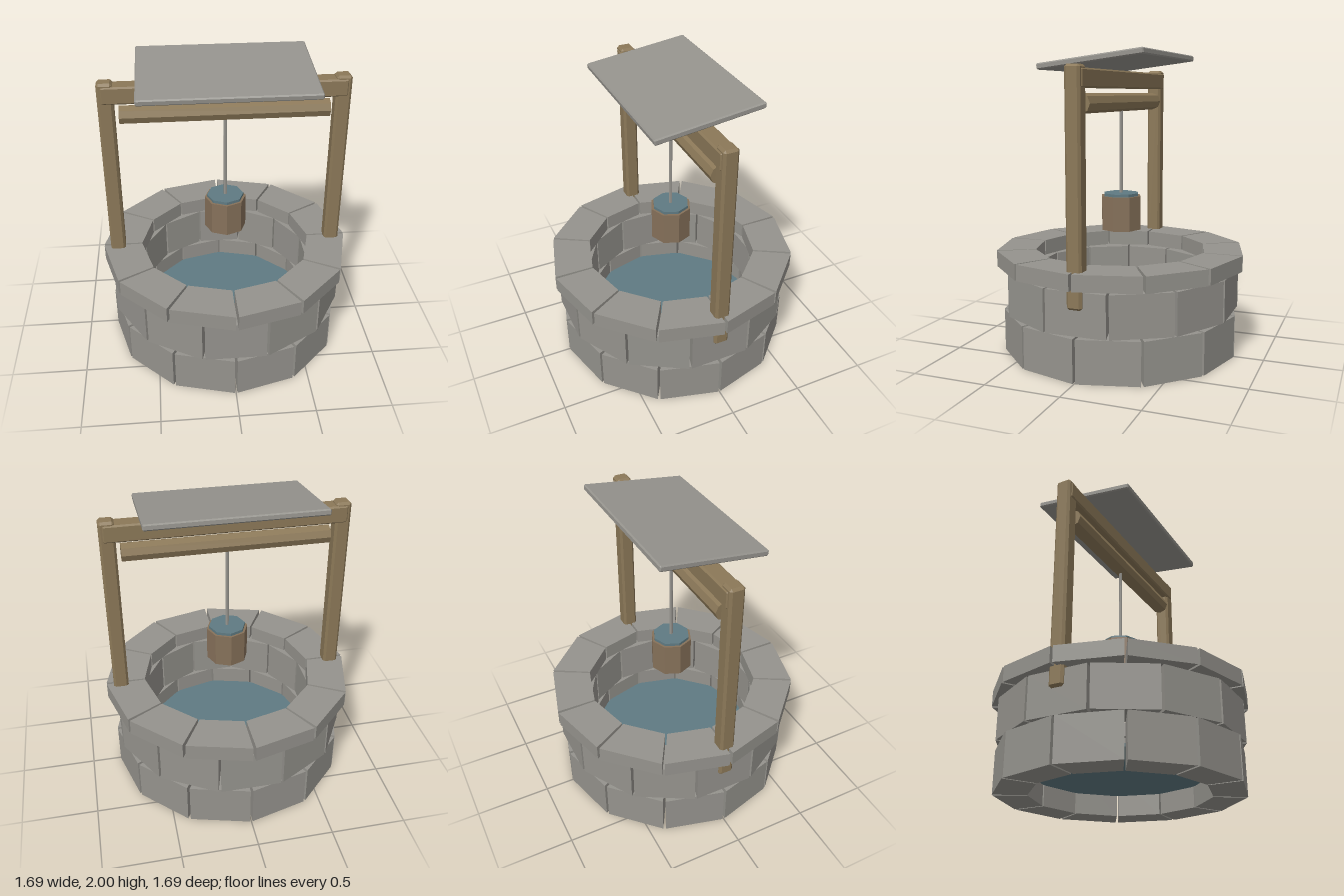
import * as THREE from 'three';
import { ConvexGeometry } from 'three/addons/geometries/ConvexGeometry.js';

const material = (name, color) => Object.assign(new THREE.MeshStandardMaterial({ color, flatShading: true }), { name });

// Box with every edge cut off at 45 degrees
function chamferedBox(w, h, d, c) {
  const points = [];
  for (const x of [-1, 1]) for (const y of [-1, 1]) for (const z of [-1, 1]) {
    const [X, Y, Z] = [w / 2, h / 2, d / 2];
    points.push(
      new THREE.Vector3(x * X, y * (Y - c), z * (Z - c)),
      new THREE.Vector3(x * (X - c), y * Y, z * (Z - c)),
      new THREE.Vector3(x * (X - c), y * (Y - c), z * Z));
  }
  return new ConvexGeometry(points);
}

// Wedge-shaped block covering the angle from -half to +half
function blockGeometry(inner, outer, half, height) {
  const at = (r, a) => new THREE.Vector2(r * Math.cos(a), r * Math.sin(a));
  const shape = new THREE.Shape([at(inner, -half), at(outer, -half), at(outer, half), at(inner, half)]);
  return new THREE.ExtrudeGeometry(shape, { depth: height, bevelEnabled: false }).rotateX(-Math.PI / 2);
}

export function createModel() {
  const well = new THREE.Group();
  well.name = 'well';
  const stone = material('stone', 0x95938d);
  const wood = material('wood', 0x8b7858);
  const darkWood = material('bucketWood', 0x86715a);
  const water = material('water', 0x5f7a82);

  const add = (name, geometry, mat, x = 0, y = 0, z = 0, parent = well) => {
    const mesh = new THREE.Mesh(geometry, mat);
    mesh.name = name;
    mesh.position.set(x, y, z);
    parent.add(mesh);
    return mesh;
  };

  // Three courses of twelve stones, the middle one shifted by half a stone
  const courses = [
    { name: 'bottomCourse', outer: 0.802, y: 0, height: 0.28, offset: 0.5 },
    { name: 'middleCourse', outer: 0.802, y: 0.29, height: 0.276, offset: 0 },
    { name: 'rimCourse', outer: 0.845, y: 0.583, height: 0.105, offset: 0.5 },
  ];
  for (const c of courses) {
    const group = new THREE.Group();
    group.name = c.name;
    well.add(group);
    const geometry = blockGeometry(0.582, c.outer, Math.PI / 12 - 0.011, c.height);
    for (let i = 0; i < 12; i++) {
      add('stoneBlock', geometry, stone, 0, c.y, 0, group).rotation.y = (i + c.offset) * Math.PI / 6;
    }
  }

  // Water inside the well
  add('wellWater', new THREE.CylinderGeometry(0.58, 0.58, 0.02, 24), water, 0, 0.15);

  // Wooden frame
  const post = chamferedBox(0.1, 1.445, 0.1, 0.015);
  for (const side of [-1, 1]) add('post', post, wood, side * 0.747, 1.1775);
  add('crossbeam', chamferedBox(1.55, 0.115, 0.114, 0.01), wood, 0, 1.8225);
  add('roller', new THREE.CylinderGeometry(0.061, 0.061, 1.34, 8).rotateZ(Math.PI / 2), wood, 0, 1.675);

  // Rope and bucket
  add('rope', new THREE.CylinderGeometry(0.012, 0.012, 0.57, 6), stone, 0, 1.335);
  add('bucket', new THREE.CylinderGeometry(0.14, 0.14, 0.23, 8), darkWood, 0, 0.93);
  add('bucketWater', new THREE.CylinderGeometry(0.124, 0.124, 0.02, 8), water, 0, 1.054);

  // Slanted roof slab
  add('roof', chamferedBox(1.11, 0.04, 0.7, 0.008), stone, 0, 1.938).rotation.x = 0.122;

  return well;
}
